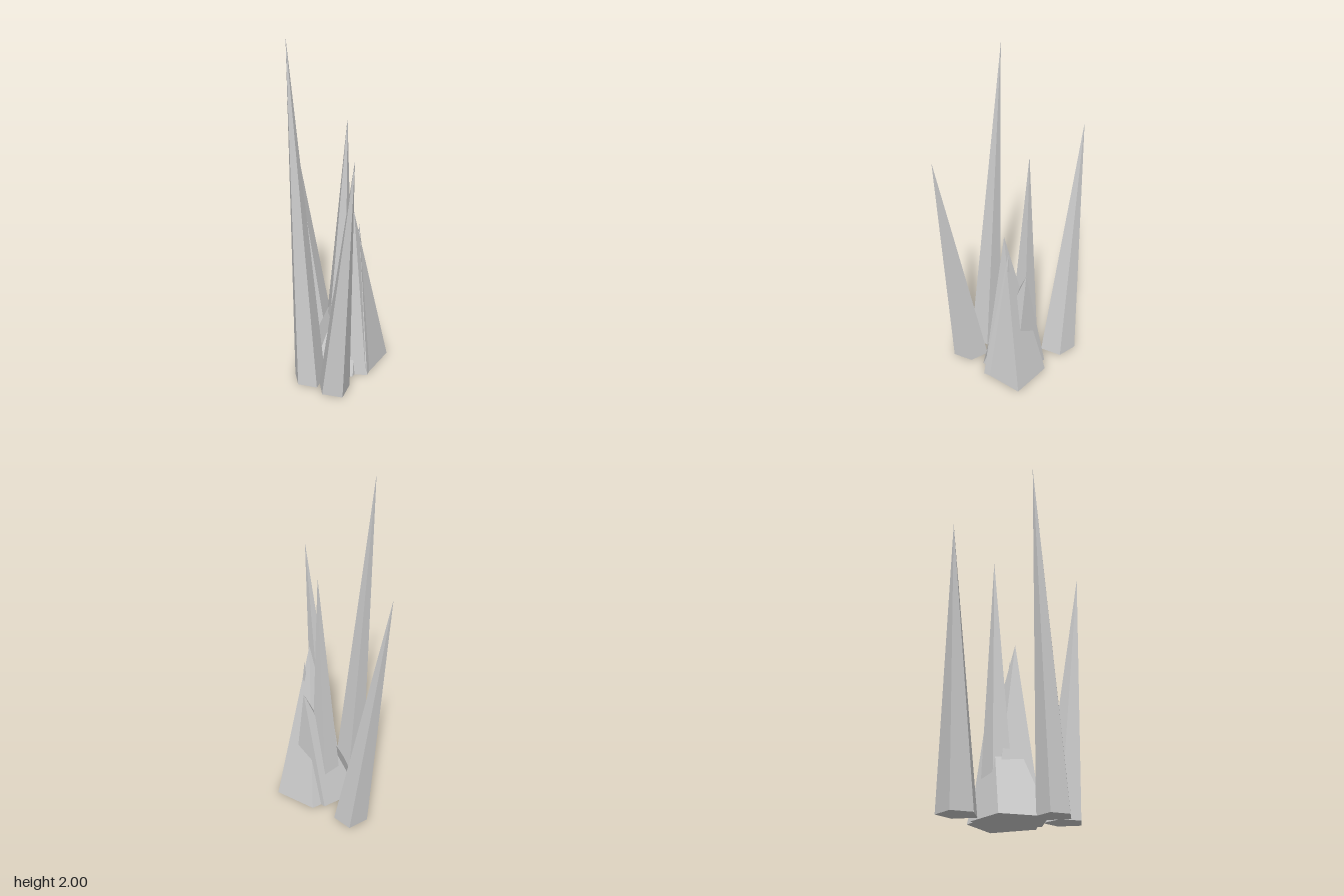
import * as THREE from 'three';

const material = new THREE.MeshStandardMaterial({ color: 0xcccccc, flatShading: true });

// Each spike: a leaning tip and a five-cornered base of [x, z], running from +x towards +z
const spikes = [
  { name: 'backSpike', tip: [-0.247, 1.54, -0.418],
    base: [[0.007, -0.31], [-0.058, -0.197], [-0.177, -0.25], [-0.18, -0.37], [-0.06, -0.412]] },
  { name: 'tallSpike', tip: [-0.283, 2, 0.033],
    base: [[-0.12, 0.148], [-0.183, 0.248], [-0.287, 0.2], [-0.292, 0.095], [-0.188, 0.06]] },
  { name: 'frontSpike', tip: [0.001, 1.475, 0.415],
    base: [[0.009, 0.255], [-0.05, 0.36], [-0.161, 0.312], [-0.161, 0.2], [-0.045, 0.15]] },
  { name: 'centreSpike', tip: [0.05, 1.525, -0.09],
    base: [[0.09, -0.07], [0.02, 0.028], [-0.09, -0.01], [-0.09, -0.13], [0.02, -0.168]] },
  { name: 'wideSpike', tip: [0.13, 0.78, -0.075],
    base: [[0.19, -0.01], [0.04, 0.18], [-0.2, 0.125], [-0.192, -0.133], [0.04, -0.206]] },
  { name: 'mainSpike', tip: [0.066, 1.02, 0.045],
    base: [[0.29, -0.02], [0.12, 0.178], [-0.125, 0.115], [-0.125, -0.13], [0.113, -0.202]] },
  { name: 'innerSpike', tip: [0.1, 0.935, 0.022],
    base: [[0.185, 0.085], [0.127, 0.18], [0.02, 0.145], [0.02, 0.035], [0.125, 0]] },
];

function makeSpike({ name, tip, base }) {
  const corners = base.map(([x, z]) => [x, 0, z]);
  const n = corners.length;
  const positions = [];
  for (let i = 0; i < n; i++) {
    const a = corners[i], b = corners[(i + 1) % n];
    positions.push(...a, ...tip, ...b); // side facet
    if (i > 0 && i < n - 1) positions.push(...corners[0], ...a, ...b); // underside
  }
  const geometry = new THREE.BufferGeometry();
  geometry.setAttribute('position', new THREE.Float32BufferAttribute(positions, 3));
  geometry.computeVertexNormals();
  const mesh = new THREE.Mesh(geometry, material);
  mesh.name = name;
  return mesh;
}

export function createModel() {
  const group = new THREE.Group();
  group.name = 'crystalCluster';
  spikes.forEach((spike) => group.add(makeSpike(spike)));
  return group;
}
